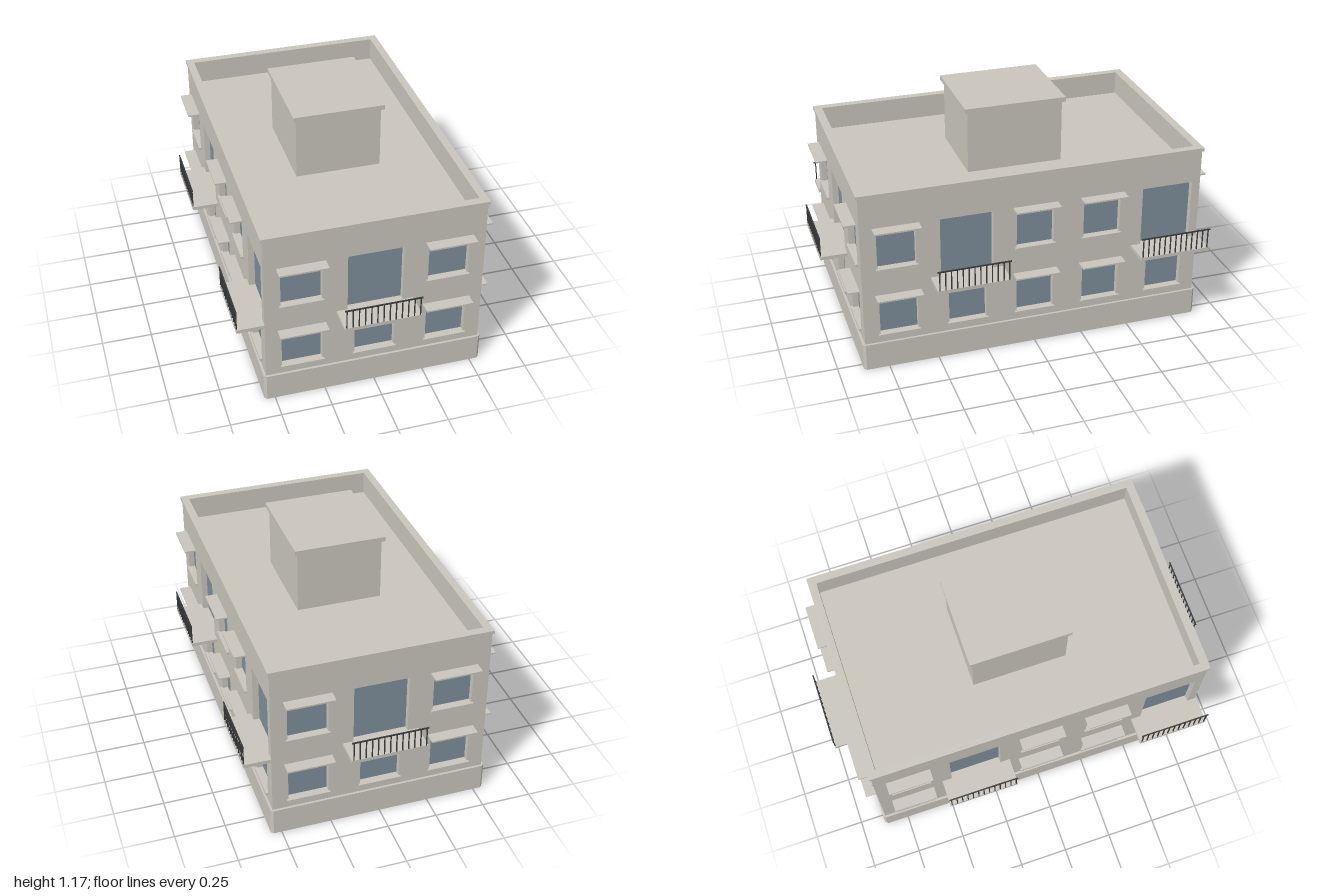
import * as THREE from 'three';

const stone = new THREE.MeshStandardMaterial({ color: 0xcac6bd, side: THREE.DoubleSide });
stone.name = 'stone';
const glass = new THREE.MeshStandardMaterial({ color: 0x7e8f9c, side: THREE.DoubleSide });
glass.name = 'glass';
const iron = new THREE.MeshStandardMaterial({ color: 0x3a3b3c });
iron.name = 'iron';

const W = 0.54, D = 0.864;              // half width and half depth of the walls
const PLINTH = 0.14, DECK = 0.825, TOP = 0.947;

function add(parent, name, geometry, material) {
  const mesh = new THREE.Mesh(geometry, material);
  mesh.name = name;
  parent.add(mesh);
  return mesh;
}

function box(parent, name, material, w, h, d, x, y, z) {
  add(parent, name, new THREE.BoxGeometry(w, h, d), material).position.set(x, y, z);
}

const rect = (x0, y0, x1, y1) =>
  [[x0, y0], [x1, y0], [x1, y1], [x0, y1]].map(p => new THREE.Vector2(...p));

const centred = (hx, hy) => rect(-hx, -hy, hx, hy);

// Open tube: a closed outline in xy swept along z from a to b
function sleeve(outline, a, b) {
  const pos = [];
  outline.forEach((p, i) => {
    const q = outline[(i + 1) % outline.length];
    pos.push(p.x, p.y, a, q.x, q.y, a, q.x, q.y, b, p.x, p.y, a, q.x, q.y, b, p.x, p.y, b);
  });
  const g = new THREE.BufferGeometry();
  g.setAttribute('position', new THREE.Float32BufferAttribute(pos, 3));
  g.computeVertexNormals();
  return g;
}

function ring(outline, hole) {
  const shape = new THREE.Shape(outline);
  shape.holes.push(new THREE.Path(hole));
  return shape;
}

// Lay plan geometry flat, with its z becoming y
const flat = g => g.rotateX(-Math.PI / 2);

// Balcony slab with a railing along its outer edge
function balcony(parent, x, z, width) {
  const g = new THREE.Group();
  g.name = 'balcony';
  const depth = 0.135, edge = z + depth - 0.003;
  box(g, 'balconySlab', stone, width, 0.018, depth, x, 0.448, z + depth / 2);
  box(g, 'handrail', iron, width, 0.006, 0.006, x, 0.558, edge);
  const n = 13, span = width - 0.02;
  for (let i = 0; i < n; i++) {
    box(g, 'baluster', iron, 0.005, 0.1, 0.005, x - span / 2 + span * i / (n - 1), 0.507, edge);
  }
  parent.add(g);
}

// One wall facing +z; bays are [x, hasBalcony]
function facade(name, half, z, bays, winW, balconyW) {
  const g = new THREE.Group();
  g.name = name;
  const wall = new THREE.Shape(rect(-half, PLINTH, half, 0.93));
  const opening = (x, w, y0, y1) => {
    const r = rect(x - w / 2, y0, x + w / 2, y1);
    wall.holes.push(new THREE.Path(r));
    add(g, 'windowReveal', sleeve(r, z - 0.03, z), stone);
    add(g, 'windowPane', new THREE.ShapeGeometry(new THREE.Shape(r)), glass).position.z = z - 0.03;
  };
  const sill = (x, y) => box(g, 'windowSill', stone, winW + 0.016, 0.013, 0.012, x, y, z + 0.006);
  const canopy = (x, y) => box(g, 'windowCanopy', stone, winW + 0.036, 0.008, 0.06, x, y, z + 0.03);

  for (const [x, hasBalcony] of bays) {
    opening(x, winW, 0.185, 0.393);
    sill(x, 0.18);
    if (hasBalcony) {
      opening(x, winW + 0.073, 0.457, 0.765);
      balcony(g, x, z, balconyW);
    } else {
      opening(x, winW, 0.547, 0.757);
      sill(x, 0.542);
      canopy(x, 0.764);
      canopy(x, 0.4);
    }
  }
  add(g, 'wall', new THREE.ShapeGeometry(wall), stone).position.z = z;
  return g;
}

export function createModel() {
  const model = new THREE.Group();
  model.name = 'house';

  // Opposite walls are the same wall turned by half a circle
  const endBays = [[-0.36, false], [0, true], [0.36, false]];
  const sideBays = [[-0.69, false], [-0.345, true], [0, false], [0.345, false], [0.69, true]];
  ['front', 'back'].forEach((n, i) => {
    const f = facade(n + 'Wall', W, D, endBays, 0.2, 0.38);
    f.rotation.y = i * Math.PI;
    model.add(f);
  });
  ['left', 'right'].forEach((n, i) => {
    const f = facade(n + 'Wall', D, W, sideBays, 0.19, 0.365);
    f.rotation.y = Math.PI / 2 + i * Math.PI;
    model.add(f);
  });

  // Plinth with clipped corners, open below
  const px = W + 0.012, pz = D + 0.012;
  const plinth = [[W, -pz], [px, -D], [px, D], [W, pz], [-W, pz], [-px, D], [-px, -D], [-W, -pz]]
    .map(p => new THREE.Vector2(...p));
  add(model, 'plinth', flat(sleeve(plinth, 0, PLINTH)), stone);
  add(model, 'plinthLedge', flat(new THREE.ShapeGeometry(ring(plinth, centred(W, D)))), stone)
    .position.y = PLINTH;

  // Roof deck, parapet and coping
  add(model, 'roofDeck', flat(new THREE.PlaneGeometry(W * 2, D * 2)), stone).position.y = DECK;
  add(model, 'parapet', flat(sleeve(centred(0.508, 0.83), DECK, 0.93)), stone);
  const coping = new THREE.ExtrudeGeometry(ring(centred(0.548, 0.872), centred(0.508, 0.83)),
    { depth: TOP - 0.93, bevelEnabled: false });
  add(model, 'coping', flat(coping), stone).position.y = 0.93;

  // Roof house
  box(model, 'roofHouse', stone, 0.43, 1.145 - DECK, 0.486, 0, (1.145 + DECK) / 2, 0);
  box(model, 'roofHouseCap', stone, 0.46, 0.024, 0.516, 0, 1.157, 0);

  return model;
}
